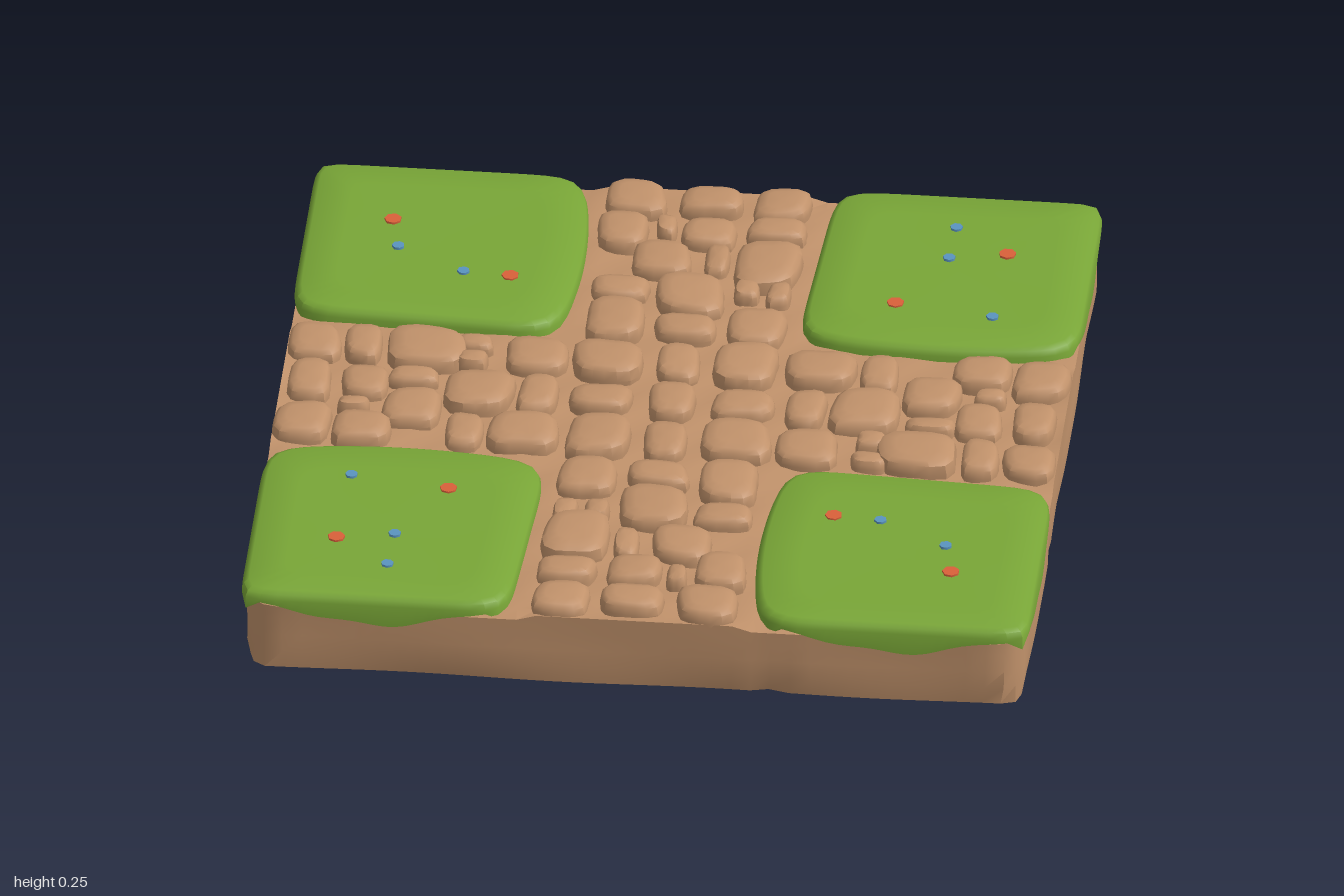
import * as THREE from 'three';
import { mergeGeometries, mergeVertices, toCreasedNormals } from 'three/addons/utils/BufferGeometryUtils.js';

const earth = new THREE.MeshStandardMaterial({ color: 0xc1926b });
earth.name = 'earthBrown';
const grass = new THREE.MeshStandardMaterial({ color: 0x79a637 });
grass.name = 'grassGreen';
const red = new THREE.MeshStandardMaterial({ color: 0xd9603a });
red.name = 'flowerRed';
const blue = new THREE.MeshStandardMaterial({ color: 0x5a94c0 });
blue.name = 'flowerBlue';

// Cobbles of one arm plus its share of the crossing: x, z, width, depth
const armStones = [
  [-0.18, -0.92, 0.15, 0.14], [0.01, -0.92, 0.15, 0.11], [0.19, -0.925, 0.14, 0.13],
  [-0.2, -0.77, 0.13, 0.14], [-0.09, -0.8, 0.05, 0.08], [0.02, -0.78, 0.13, 0.12], [0.19, -0.8, 0.15, 0.09],
  [-0.09, -0.65, 0.15, 0.14], [0.05, -0.66, 0.06, 0.13], [0.18, -0.64, 0.16, 0.2],
  [-0.18, -0.51, 0.15, 0.09], [0, -0.49, 0.17, 0.17], [0.14, -0.52, 0.06, 0.08], [0.22, -0.52, 0.06, 0.09],
  [-0.18, -0.36, 0.15, 0.17], [0, -0.34, 0.15, 0.1], [0.18, -0.36, 0.14, 0.16],
  [0.17, -0.18, 0.16, 0.17], [0, -0.18, 0.11, 0.15],
];

// Skin over closed rings; point(angle, level) gives a position, last level closes to a tip
function loft(sides, levels, point) {
  const pos = [], index = [];
  for (let j = 0; j < levels; j++) {
    for (let i = 0; i < sides; i++) pos.push(...point((i / sides) * Math.PI * 2, j));
  }
  for (let j = 0; j < levels - 1; j++) {
    for (let i = 0; i < sides; i++) {
      const a = j * sides + i, b = j * sides + ((i + 1) % sides);
      if (j < levels - 2) index.push(a, a + sides, b, b, a + sides, b + sides);
      else index.push(a, a + sides, b);
    }
  }
  const g = new THREE.BufferGeometry();
  g.setAttribute('position', new THREE.Float32BufferAttribute(pos, 3));
  g.setIndex(index);
  return toCreasedNormals(mergeVertices(g, 1e-5), 0.75);
}

// Rounded-square outline of half size 1
function squircle(a, n) {
  const c = Math.cos(a), s = Math.sin(a);
  const r = 1 / Math.pow(Math.abs(c) ** n + Math.abs(s) ** n, 1 / n);
  return [c * r, s * r];
}

// Repeat a geometry in all four quarters
function quarters(list) {
  const out = [];
  for (let k = 0; k < 4; k++) list.forEach((g) => out.push(g.clone().rotateY((k * Math.PI) / 2)));
  return mergeGeometries(out);
}

function stone([x, z, w, d], k) {
  const scale = [0.98, 1.03, 0.98, 0.84, 0.55, 0];
  const top = 0.229 + Math.min(w, d) * 0.07 + 0.004 * Math.sin(k * 2.3);
  const height = [0.165, 0.203, top - 0.014, top - 0.004, top, top + 0.001];
  return loft(18, 6, (a, j) => {
    const [px, pz] = squircle(a, 3.6);
    const wob = 1 + 0.05 * Math.sin(2 * a + k * 1.7) + 0.03 * Math.sin(3 * a + k);
    return [x + px * wob * scale[j] * w * 0.5, height[j] + 0.004 * px * scale[j] * Math.sin(k), z + pz * wob * scale[j] * d * 0.5];
  });
}

// Worn slab: rounded corners, uneven walls, dipping path bed and rough underside
function slabGeometry() {
  const g = new THREE.BoxGeometry(2, 0.2, 2, 40, 4, 40);
  g.deleteAttribute('normal');
  g.deleteAttribute('uv');
  const p = g.attributes.position;
  for (let i = 0; i < p.count; i++) {
    let x = p.getX(i), y = p.getY(i) + 0.1, z = p.getZ(i);
    const wall = Math.max(Math.abs(x), Math.abs(z)) > 0.999;
    const low = 1 - y / 0.2;
    if (wall) {
      const s = Math.abs(x) > 0.999 ? z : x;
      const chip = Math.abs(s - 0.35) < 0.03 ? 0.012 : 0;
      const inset = 0.006 + chip * low + 0.008 * low * (1 + Math.sin(s * 8 + y * 14)) * 0.5 + (y < 0.01 ? 0.008 : 0);
      x *= 1 - inset;
      z *= 1 - inset;
      if (y > 0.19) y = Math.abs(s) < 0.3 ? 0.2 : 0.185;
    } else if (y > 0.19) {
      const path = Math.min(Math.abs(x), Math.abs(z)) < 0.34;
      y = path ? 0.193 + 0.005 * Math.sin(x * 31) * Math.sin(z * 29) : 0.185;
    } else if (y < 0.01) {
      const edge = Math.min(1, (1 - Math.max(Math.abs(x), Math.abs(z))) * 7);
      const ridge = Math.abs(Math.sin(x * 7.1 + z * 3.3)) * Math.abs(Math.cos(z * 6.7 - x * 2.9));
      y = edge * (0.008 + 0.05 * ridge);
    }
    // round the vertical corners
    const r = 0.09, dx = Math.abs(x) - (0.993 - r), dz = Math.abs(z) - (0.993 - r);
    if (dx > 0 && dz > 0 && Math.hypot(dx, dz) > r) {
      const f = r / Math.hypot(dx, dz);
      x = Math.sign(x) * (0.993 - r + dx * f);
      z = Math.sign(z) * (0.993 - r + dz * f);
    }
    p.setXYZ(i, x, y, z);
  }
  return toCreasedNormals(mergeVertices(g, 1e-4), 0.5);
}

// Grass pad of one corner, with a wavy skirt hanging over the outer walls
function grassGeometry() {
  const scale = [0.965, 1, 1, 0.985, 0.95, 0.7, 0.35, 0];
  const height = [0, 0, 0.207, 0.222, 0.23, 0.231, 0.229, 0.228];
  return loft(80, scale.length, (a, j) => {
    const [px, pz] = squircle(a, Math.cos(a) > 0 && Math.sin(a) < 0 ? 16 : 9);
    const outer = px > 0.97 || pz < -0.97;
    const s = Math.abs(px) > Math.abs(pz) ? pz : px;
    const hem = outer ? 0.2 - 0.05 * Math.cos((s * Math.PI) / 2) ** 2 + 0.006 * Math.sin(s * 9) * (1 - s * s) : 0.172;
    const ox = 0.34 * px - (px < 0 ? 0.036 * px * px * (0.5 + 0.5 * pz) : 0);
    const oz = 0.34 * pz + (pz > 0 ? 0.036 * pz * pz * (1 - px * px) : 0);
    const x = 0.66 + ox * scale[j], z = -0.66 + oz * scale[j];
    const y = j < 2 ? hem : height[j] + (j > 4 ? 0.0015 * Math.sin(x * 9 + z * 7) : 0);
    return [x, y, z];
  });
}

// Flat flower dots, each repeated on the diagonally opposite pad
function flowers(name, spots, radius, material) {
  const group = new THREE.Group();
  group.name = name;
  const geo = new THREE.CylinderGeometry(radius, radius, 0.009, 7);
  spots.forEach(([x, z], i) => {
    for (const s of [1, -1]) {
      const dot = new THREE.Mesh(geo, material);
      dot.name = name + 'Dot';
      dot.position.set(x * s, 0.2315, z * s);
      dot.rotation.y = i;
      group.add(dot);
    }
  });
  return group;
}

export function createModel() {
  const model = new THREE.Group();
  model.name = 'crossroadsTile';
  const add = (name, geo, mat) => {
    const m = new THREE.Mesh(geo, mat);
    m.name = name;
    model.add(m);
  };

  add('earthSlab', slabGeometry(), earth);
  add('pathCobbles', quarters(armStones.map(stone)), earth);
  add('centreCobble', stone([0, 0, 0.12, 0.14], 3), earth);
  add('grassPads', quarters([grassGeometry()]), grass);

  // Broken rock ledges under the slab
  const ledges = [[0.3, 0.62, 0.22, 0.4], [0.62, 0.5, 0.16, 1.3], [0.16, 0.3, 0.14, 0.9], [0.7, 0.78, 0.13, 2.4], [0.1, 0.72, 0.12, 0.1]];
  add('undersideLedges', quarters(ledges.map(([x, z, len, turn]) =>
    new THREE.IcosahedronGeometry(1, 0).scale(len, 0.022, 0.045).rotateY(turn).translate(x, 0.028, z))), earth);

  model.add(flowers('redFlowers', [[0.78, -0.73], [0.52, -0.48], [-0.78, -0.74], [-0.46, -0.51]], 0.022, red));
  model.add(flowers('blueFlowers', [[0.64, -0.84], [0.635, -0.7], [0.77, -0.44], [-0.755, -0.62], [-0.58, -0.52]], 0.016, blue));
  return model;
}
